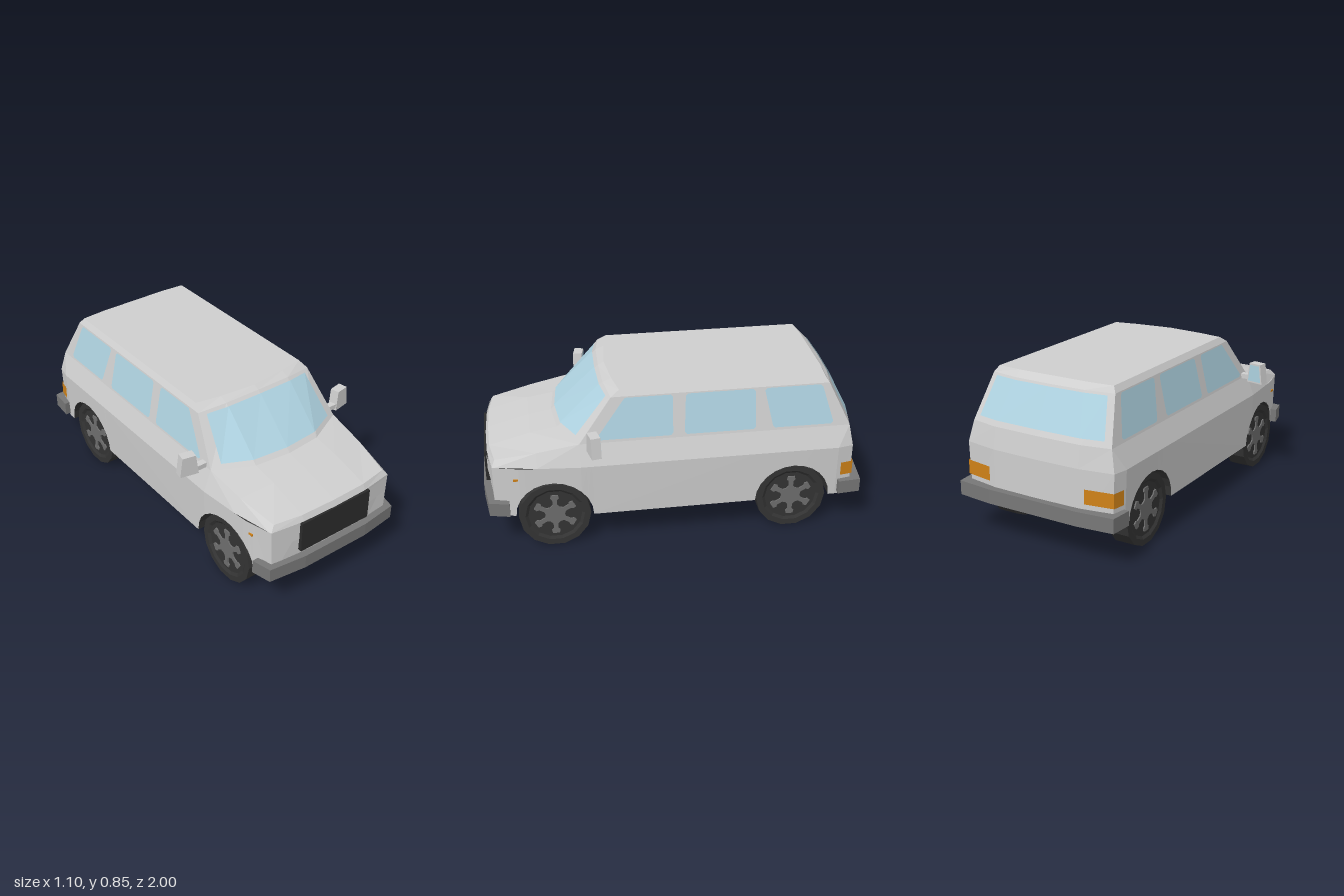
import * as THREE from 'three';

const mat = (name, color) => Object.assign(
  new THREE.MeshStandardMaterial({ color, flatShading: true, side: THREE.DoubleSide }), { name });

const SILL = 0.19, WAIST = 0.48, ARCH_R = 0.2, AXLES = [0.64, -0.615];

// piecewise linear lookup through [z, value] pairs, z falling
function along(table, z) {
  for (let i = 1; i < table.length; i++) {
    const [z0, v0] = table[i - 1], [z1, v1] = table[i];
    if (z >= z1 || i === table.length - 1) return v0 + (v1 - v0) * (z0 - z) / (z0 - z1);
  }
}
const sillWidth = z => along([[0.945, 0.37], [0.8, 0.412], [0.5, 0.44], [-0.85, 0.435], [-0.93, 0.42]], z);
const waistWidth = z => along([[0.945, 0.38], [0.8, 0.42], [0.5, 0.447], [-0.85, 0.447], [-0.93, 0.43]], z);
const sideX = (z, y) => THREE.MathUtils.lerp(sillWidth(z), waistWidth(z), (y - SILL) / (WAIST - SILL));
const greenhouseX = y => 0.405 - (y - 0.592) * 0.219;

const mix = (a, b, t) => a.map((v, i) => v + (b[i] - v) * t);
const shift = (p, d) => p.map((v, i) => v + d[i]);

// quads between neighbouring rows of points
function sheet(rows) {
  const pos = [];
  for (let r = 0; r + 1 < rows.length; r++) {
    for (let i = 0; i + 1 < rows[r].length; i++) {
      const a = rows[r][i], b = rows[r][i + 1], c = rows[r + 1][i + 1], d = rows[r + 1][i];
      pos.push(...a, ...b, ...c, ...a, ...c, ...d);
    }
  }
  const g = new THREE.BufferGeometry();
  g.setAttribute('position', new THREE.Float32BufferAttribute(pos, 3));
  g.computeVertexNormals();
  return g;
}
// completes rows given from the centre line outwards
const fullRows = rows => rows.map(r => [
  ...r.filter(p => p[0] > 0).map(([x, y, z]) => [-x, y, z]).reverse(), ...r]);

export function createModel() {
  const paint = mat('silver paint', 0xcecece), glass = mat('glass', 0xaed2e0);
  const trim = mat('bumper grey', 0x777777), rubber = mat('tyre black', 0x343434);
  const rim = mat('rim grey', 0x6e6e6e), amber = mat('amber lamp', 0xd08218);
  const dark = mat('grille black', 0x2b2b2b), under = mat('underside black', 0x191919);

  const van = new THREE.Group();
  van.name = 'van';
  const left = new THREE.Group();
  left.name = 'leftSide';
  const add = (parent, name, geo, material, x = 0, y = 0, z = 0) => {
    const m = new THREE.Mesh(geo, material);
    m.name = name;
    m.position.set(x, y, z);
    parent.add(m);
    return m;
  };

  // nose, bonnet, windscreen frame, roof and tail as one skin from front to back
  const skin = [
    [[0, SILL, 0.96], [0.2, SILL, 0.96], [0.37, SILL, 0.945]],
    [[0, WAIST, 0.975], [0.2, WAIST, 0.97], [0.38, WAIST, 0.945]],
    [[0, 0.51, 0.96], [0.2, 0.51, 0.955], [0.355, 0.51, 0.93]],
    [[0, 0.57, 0.74], [0.2, 0.567, 0.74], [0.39, 0.55, 0.72]],
    [[0, 0.59, 0.62], [0.2, 0.59, 0.6], [0.405, 0.592, 0.5]],
    [[0, 0.835, 0.36], [0.2, 0.832, 0.355], [0.355, 0.82, 0.33]],
    [[0, 0.85, 0.33], [0.2, 0.85, 0.31], [0.335, 0.85, 0.285]],
    [[0, 0.85, -0.79], [0.2, 0.85, -0.79], [0.335, 0.85, -0.78]],
    [[0, 0.82, -0.83], [0.2, 0.82, -0.825], [0.355, 0.82, -0.8]],
    [[0, 0.592, -0.945], [0.25, 0.592, -0.94], [0.405, 0.592, -0.91]],
    [[0, WAIST, -0.965], [0.25, WAIST, -0.96], [0.43, WAIST, -0.93]],
    [[0, SILL, -0.965], [0.25, SILL, -0.96], [0.42, SILL, -0.93]],
  ];
  add(van, 'bodyTop', sheet(fullRows(skin)), paint);

  // windscreen and rear window lie just above the skin
  const pane = (name, upper, lower, t0, t1, edge, offset) => {
    const rows = [t0, t1].map(t => {
      const [a, b, c] = upper.map((p, i) => shift(mix(p, lower[i], t), offset));
      return [a, b, mix(b, c, edge)];
    });
    add(van, name, sheet(fullRows(rows)), glass);
  };
  pane('windscreen', skin[4], skin[5], 0.09, 0.94, 0.75, [0, 0.004, 0.005]);
  pane('rearWindow', skin[8], skin[9], 0.05, 0.88, 0.78, [0, 0.002, -0.006]);

  // lower edge of the side, following the wheel arches
  const edge = [[0.945, SILL]];
  for (const c of AXLES) {
    for (let i = 0; i <= 12; i++) {
      const a = Math.PI * i / 12;
      edge.push([c + ARCH_R * Math.cos(a), SILL + ARCH_R * Math.sin(a)]);
    }
  }
  edge.push([-0.85, SILL], [-0.93, SILL]);
  add(left, 'lowerSide', sheet([
    edge.map(([z, y]) => [sideX(z, y), y, z]),
    edge.map(([z]) => [waistWidth(z), WAIST, z]),
  ]), paint);

  // shoulder, window wall and roof rail
  const shoulder = [skin[1][2], skin[2][2], skin[3][2], skin[4][2], [0.405, 0.592, -0.85], skin[9][2]];
  add(left, 'shoulder', sheet([
    shoulder.map(([, , z], i) => i === 5 ? skin[10][2] : [waistWidth(z), WAIST, z]), shoulder,
  ]), paint);
  add(left, 'windowWall', sheet([
    [skin[4][2], skin[9][2]], [skin[5][2], skin[8][2]], [skin[6][2], skin[7][2]],
  ]), paint);

  // side windows: bottom front, bottom rear, top front, top rear in z
  [[0.41, 0.02, 0.27, 0.015], [-0.04, -0.41, -0.05, -0.41], [-0.5, -0.82, -0.46, -0.765]]
    .forEach(([bf, br, tf, tr], i) => {
      const y0 = 0.607, y1 = 0.815, h = 0.012;
      const row = (y, f, r) => [[greenhouseX(y) + 0.004, y, f], [greenhouseX(y) + 0.004, y, r]];
      add(left, 'sideWindow' + (i + 1), sheet([
        row(y0, bf - h, br + h), row(y0 + h, bf, br), row(y1 - h, tf, tr), row(y1, tf - h, tr + h),
      ]), glass);
    });

  // wheel wells and wheels
  const star = new THREE.Shape();
  for (let i = 0; i < 6; i++) {
    [[0.05, -30], [0.058, -12], [0.088, -8], [0.1, -13], [0.117, -9], [0.117, 9], [0.1, 13], [0.088, 8], [0.058, 12]]
      .forEach(([r, deg], k) => {
        const a = (deg + 60 * i + 90) * Math.PI / 180;
        star[i + k ? 'lineTo' : 'moveTo'](r * Math.cos(a), r * Math.sin(a));
      });
  }
  const tyreProfile = [[0, -0.055], [0.187, -0.055], [0.187, 0.055], [0.155, 0.055], [0.14, 0.045], [0, 0.045]]
    .map(([r, y]) => new THREE.Vector2(r, y));
  AXLES.forEach((c, i) => {
    const arch = edge.slice(1 + i * 13, 14 + i * 13);
    add(left, 'wheelWell', sheet([
      arch.map(([z, y]) => [0.28, y, z]), arch.map(([z, y]) => [sideX(z, y), y, z]),
    ]), rubber);
    add(left, 'wheelWellWall', sheet([
      arch.map(([z]) => [0.28, SILL, z]), arch.map(([z, y]) => [0.28, y, z]),
    ]), rubber);
    const wheel = new THREE.Group();
    wheel.name = i ? 'rearWheel' : 'frontWheel';
    wheel.position.set(0.36, 0.187, c);
    add(wheel, 'tyre', new THREE.LatheGeometry(tyreProfile, 14).rotateZ(-Math.PI / 2), rubber);
    add(wheel, 'rim', new THREE.ExtrudeGeometry(star, { depth: 0.007, bevelEnabled: false })
      .rotateY(Math.PI / 2), rim, 0.045);
    left.add(wheel);
  });

  // floor, narrowed between the wheel wells
  const floor = [[[0, SILL, 0.96], [0.37, SILL, 0.945]]];
  const floorRow = (x, z) => floor.push([[0, SILL, z], [x, SILL, z]]);
  for (const c of AXLES) {
    const f = c + ARCH_R, r = c - ARCH_R;
    floorRow(sillWidth(f), f);
    floorRow(0.28, f);
    floorRow(0.28, r);
    floorRow(sillWidth(r), r);
  }
  floor.push([[0, SILL, -0.965], [0.42, SILL, -0.93]]);
  add(van, 'floor', sheet(fullRows(floor.reverse())), under);

  // bumpers from a plan outline
  const bumper = (name, half) => {
    const pts = [...half, ...half.map(([x, z]) => [-x, z]).reverse()].map(p => new THREE.Vector2(...p));
    add(van, name, new THREE.ExtrudeGeometry(new THREE.Shape(pts), { depth: 0.075, bevelEnabled: false })
      .rotateX(Math.PI / 2), trim, 0, 0.282, 0);
  };
  bumper('frontBumper', [[0.2, 1], [0.405, 0.975], [0.43, 0.87], [0.39, 0.87], [0.35, 0.935]].reverse());
  bumper('rearBumper', [[0.26, -1], [0.455, -0.98], [0.465, -0.86], [0.425, -0.86], [0.4, -0.92]].reverse());

  // grille and lamps
  add(van, 'grille', new THREE.BoxGeometry(0.44, 0.17, 0.03), dark, 0, 0.395, 0.969);
  add(left, 'headlight', sheet([0.385, 0.474].map(y => [[0.225, y, 0.972], [0.365, y, 0.953]])), paint);
  add(left, 'tailLight', sheet([0.31, 0.385].map(y =>
    [[0.443, y, -0.87], [0.431, y, -0.936], [0.28, y, -0.961]])), amber);
  add(left, 'sideMarker', new THREE.BoxGeometry(0.009, 0.011, 0.025), amber, 0.411, 0.413, 0.83);

  // door mirror, narrower at the top
  const mirror = new THREE.Group();
  mirror.name = 'doorMirror';
  mirror.position.set(0.497, 0.635, 0.433);
  mirror.rotation.y = 0.2;
  const shell = new THREE.BoxGeometry(0.1, 0.11, 0.05), p = shell.attributes.position;
  for (let i = 0; i < p.count; i++) if (p.getY(i) > 0) p.setX(i, p.getX(i) * 0.72);
  add(mirror, 'mirrorShell', shell, paint);
  add(mirror, 'mirrorGlass', sheet([
    [[0.042, -0.046, -0.027], [-0.042, -0.046, -0.027]], [[0.03, 0.046, -0.027], [-0.03, 0.046, -0.027]],
  ]), glass);
  left.add(mirror);
  add(left, 'mirrorArm', new THREE.BoxGeometry(0.09, 0.026, 0.035), paint, 0.425, 0.604, 0.445);

  const right = left.clone();
  right.name = 'rightSide';
  right.scale.x = -1;
  van.add(left, right);
  return van;
}
